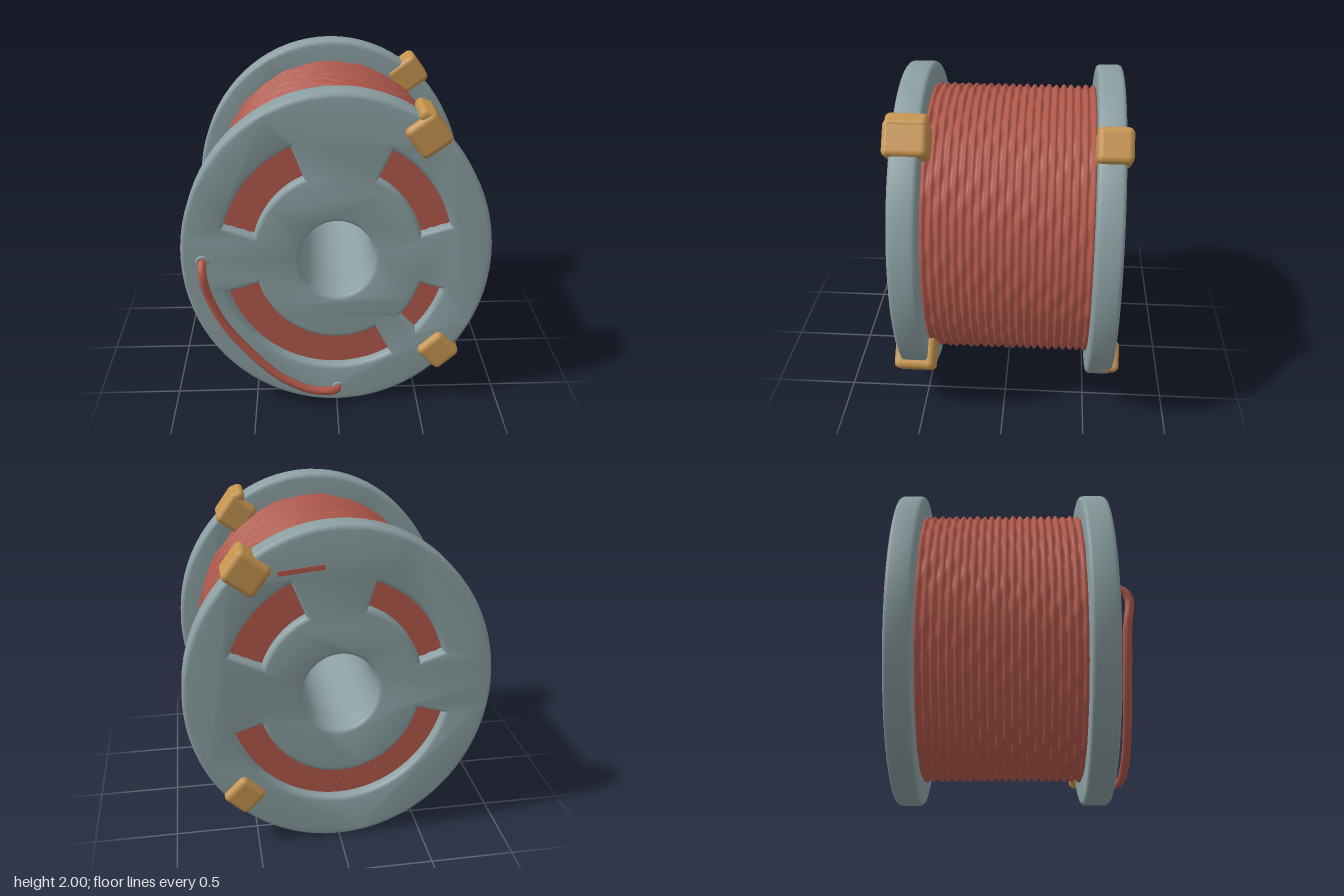
import * as THREE from 'three';
import { toCreasedNormals } from 'three/addons/utils/BufferGeometryUtils.js';
import { RoundedBoxGeometry } from 'three/addons/geometries/RoundedBoxGeometry.js';

const OVAL = 0.9; // the whole spool is slightly narrower than tall
const CY = 1.0;

export function createModel() {
  const group = new THREE.Group();
  const grey = new THREE.MeshStandardMaterial({ color: 0x8b9fa2 });
  grey.name = 'spool grey';
  const red = new THREE.MeshStandardMaterial({ color: 0xb2594b });
  red.name = 'wire red';
  const tan = new THREE.MeshStandardMaterial({ color: 0xc4934f });
  tan.name = 'clip tan';

  const add = (name, geometry, material) => {
    const mesh = new THREE.Mesh(geometry, material);
    mesh.name = name;
    group.add(mesh);
    return mesh;
  };

  // Curved window: start angle, end angle (degrees), inner and outer radius
  const slotPath = ([a0, a1, r0, r1]) => {
    const s = THREE.MathUtils.degToRad(a0), e = THREE.MathUtils.degToRad(a1);
    const path = new THREE.Path();
    path.absarc(0, 0, r1, s, e, false);
    path.absarc(0, 0, r0, e, s, true);
    path.closePath();
    return path;
  };

  // Flange: oval disc with a bore and curved windows, softly bevelled
  const addFlange = (name, zMin, zMax, slots) => {
    const shape = new THREE.Shape();
    shape.absarc(0, 0, 1, 0, Math.PI * 2, false);
    const bore = new THREE.Path();
    bore.absarc(0, 0, 0.245, 0, Math.PI * 2, true);
    shape.holes.push(bore, ...slots.map(slotPath));
    const bevel = 0.025;
    const geo = new THREE.ExtrudeGeometry(shape, {
      depth: zMax - zMin - 2 * bevel, curveSegments: 40,
      bevelEnabled: true, bevelThickness: bevel, bevelSize: bevel,
      bevelOffset: -bevel, bevelSegments: 3,
    });
    geo.translate(0, 0, zMin + bevel);
    geo.scale(OVAL, 1, 1);
    geo.translate(0, CY, 0);
    add(name, toCreasedNormals(geo, 0.6), grey);
  };
  addFlange('frontFlange', 0.46, 0.625, [
    [16, 63, 0.56, 0.75], [112, 163, 0.55, 0.75],
    [196, 299, 0.53, 0.74], [317, 343, 0.57, 0.72],
  ]);
  addFlange('backFlange', -0.665, -0.51, [
    [22, 66, 0.53, 0.75], [108, 162, 0.54, 0.7], [195, 342, 0.53, 0.72],
  ]);

  // Turned parts: profile of [radius, z] pairs around the z axis
  const turned = (profile, segments) => {
    const geo = new THREE.LatheGeometry(profile.map(([r, z]) => new THREE.Vector2(r, z)), segments);
    geo.rotateX(Math.PI / 2);
    geo.scale(OVAL, 1, 1);
    geo.translate(0, CY, 0);
    return geo;
  };

  // Bore lining with flared mouths
  add('boreLining', turned([
    [0.285, 0.622], [0.27, 0.612], [0.25, 0.58], [0.237, 0.53], [0.235, 0.45],
    [0.235, -0.5], [0.237, -0.57], [0.25, -0.62], [0.27, -0.652], [0.285, -0.662],
  ], 64), grey);

  // Wire winding: rows of turns outside, ringed ends showing through the windows
  const winding = [];
  const ENDS = 14, TURNS = 22;
  for (let i = 0; i <= ENDS; i++) {
    winding.push([0.3 + (0.5 * i) / ENDS, -0.605 + (i % 2) * 0.01]);
  }
  for (let i = 0; i <= TURNS * 4; i++) {
    const ridge = Math.abs(Math.sin((i * Math.PI) / 4));
    winding.push([0.836 + 0.026 * ridge, -0.52 + (0.99 * i) / (TURNS * 4)]);
  }
  for (let i = ENDS; i >= 0; i--) {
    winding.push([0.3 + (0.5 * i) / ENDS, 0.57 - (i % 2) * 0.01]);
  }
  const windingGeo = turned(winding, 128);
  // Slight unevenness of the wire, repeating cleanly around the circle
  const pos = windingGeo.attributes.position;
  for (let i = 0; i < pos.count; i++) {
    const x = pos.getX(i), y = pos.getY(i) - CY, z = pos.getZ(i);
    if (Math.abs(z) > 0.52) continue;
    const a = Math.atan2(y, x / OVAL);
    const row = Math.round(z * 22);
    const k = 1 + 0.004 * Math.sin(a * 17 + row * 2.4) + 0.003 * Math.sin(a * 29 - row * 4.1);
    pos.setXY(i, x * k, CY + 0.008 + y * k);
  }
  windingGeo.computeVertexNormals();
  add('wireWinding', windingGeo, red);

  // Loose wire end, out of one hole and back into another
  const loose = new THREE.CatmullRomCurve3([
    [-0.775, 1.005, 0.6], [-0.775, 0.99, 0.655], [-0.77, 0.94, 0.685], [-0.745, 0.8, 0.672],
    [-0.665, 0.61, 0.67], [-0.52, 0.41, 0.675], [-0.35, 0.235, 0.682], [-0.17, 0.13, 0.68],
    [-0.04, 0.108, 0.672], [0.0, 0.1, 0.645], [0.01, 0.1, 0.6],
  ].map((p) => new THREE.Vector3(...p)));
  add('looseWire', new THREE.TubeGeometry(loose, 80, 0.025, 10), red);

  // Wire holes with a raised lip
  for (const [x, y] of [[-0.775, 1.005], [0.01, 0.1]]) {
    add('wireHoleLip', new THREE.TorusGeometry(0.03, 0.012, 8, 20), grey).position.set(x, y, 0.622);
  }

  // Clips gripping the rims: x, y, width, height, z range, turn
  const clips = [
    ['frontUpperClip', 0.495, 1.76, 0.2, 0.21, 0.41, 0.665, 0.63],
    ['frontLowerClip', 0.615, 0.37, 0.19, 0.2, 0.42, 0.665, 0.76],
    ['backUpperClip', 0.515, 1.76, 0.22, 0.2, -0.7, -0.5, 0.63],
    ['backLowerClip', 0.575, 0.37, 0.19, 0.19, -0.705, -0.58, 0.76],
  ];
  for (const [name, x, y, w, h, z0, z1, turn] of clips) {
    const clip = add(name, new RoundedBoxGeometry(w, h, z1 - z0, 4, 0.035), tan);
    clip.position.set(x, y, (z0 + z1) / 2);
    clip.rotation.z = turn;
  }
  // Small bump on top of the front upper clip
  const bump = add('clipBump', new RoundedBoxGeometry(0.1, 0.07, 0.24, 3, 0.03), tan);
  bump.position.set(0.485, 1.87, 0.535);
  bump.rotation.z = -0.35;

  // Thin streak of wire colour on the back face
  const streak = add('backStreak', new THREE.BoxGeometry(0.26, 0.028, 0.006), red);
  streak.position.set(0.22, 1.76, -0.666);
  streak.rotation.z = -0.1;

  return group;
}
